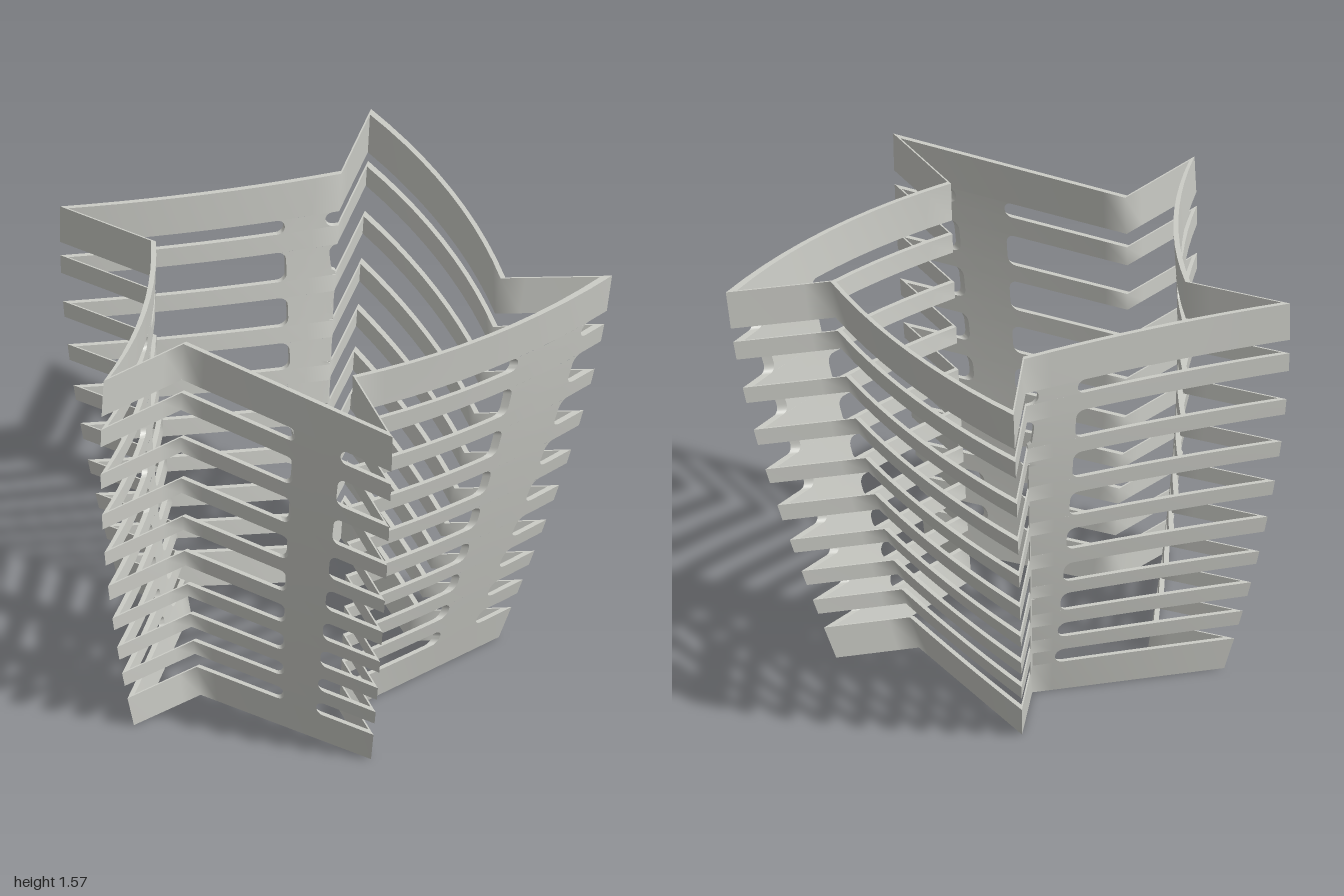
import * as THREE from 'three';
import { mergeGeometries, toCreasedNormals } from 'three/addons/utils/BufferGeometryUtils.js';

const H = 1.57;
// The long walls (even) are thicker than the short radial ones (odd)
const THICK = [0.018, 0.006];

// Star corners as [x, z], alternating tip and inner corner, at the foot and at the rim
const FOOT = [[0.16, -0.63], [0.26, 0.08], [0.56, 0.13], [-0.09, 0.46], [-0.055, 0.765],
  [-0.56, 0.24], [-0.835, 0.37], [-0.495, -0.28], [-0.69, -0.48], [0.01, -0.37]];
const RIM = [[0.35, -1.0], [0.585, 0.125], [0.96, 0.2], [-0.075, 0.61], [-0.03, 1.0],
  [-0.63, 0.27], [-0.96, 0.43], [-0.6, -0.38], [-0.87, -0.66], [0.16, -0.65]];

// Outward bow of each wall at the rim (walls are straight at the foot)
const BOW = [0.055, 0, 0.065, 0, 0, 0, -0.05, 0, -0.022, 0];

// Gaps between the horizontal bars
const GAPS = [[0.13, 0.19], [0.25, 0.315], [0.375, 0.455], [0.51, 0.595], [0.66, 0.755],
  [0.815, 0.92], [0.985, 1.1], [1.165, 1.285], [1.36, 1.417]];

// Posts: start and end along a wall at the foot and at the rim (past 1 runs round the corner)
const POSTS = [
  { wall: 2, foot: [0.24, 0.45], rim: [0.095, 0.375] },
  { wall: 4, foot: [0.335, 0.51], rim: [0.23, 0.45] },
  { wall: 6, foot: [0.59, 0.74], rim: [0.59, 0.7] },
  { wall: 8, foot: [0.9, 1.18], rim: [0.785, 0.92] },
];

const lerp = THREE.MathUtils.lerp;

// Star corner at height y, with the sides swelling between foot and rim
function corner(i, y) {
  const k = (i + 10) % 10, t = y / H, swell = 1 + 0.25 * t * (1 - t);
  return new THREE.Vector2(lerp(FOOT[k][0], RIM[k][0], t) * swell, lerp(FOOT[k][1], RIM[k][1], t) * swell);
}

function wallNormal(i, y) {
  const d = corner(i + 1, y).sub(corner(i, y)).normalize();
  return new THREE.Vector2(d.y, -d.x);
}

// Mitred offset from the outer to the inner face where two walls of different thickness meet
function mitre(i, y) {
  const a = wallNormal(i - 1, y), b = wallNormal(i, y);
  const ta = THICK[(i + 1) % 2], tb = THICK[i % 2], det = a.cross(b);
  return new THREE.Vector2((tb * a.y - ta * b.y) / det, (ta * b.x - tb * a.x) / det);
}

// Point on the outer or inner face, a fraction along wall w
function wallPoint(w, along, y, inner) {
  const i = along > 1 ? w + 1 : w, f = along > 1 ? along - 1 : along;
  const p = corner(i, y).lerp(corner(i + 1, y), f);
  p.addScaledVector(wallNormal(i, y), BOW[i] * (y / H) * 4 * f * (1 - f));
  if (inner) p.add(mitre(i, y).lerp(mitre(i + 1, y), f));
  return [p.x, y, p.y];
}

// Geometry from quads; edges that turn more than the crease angle stay sharp
function quadGeometry(quads, crease) {
  const g = new THREE.BufferGeometry();
  const pos = quads.flatMap(([a, b, c, d]) => [a, b, c, a, c, d].flat());
  g.setAttribute('position', new THREE.Float32BufferAttribute(pos, 3));
  return toCreasedNormals(g, crease);
}

// Closed star-shaped bar: four strips, smooth round the inner corners and sharp at the tips
function barGeometry(y0, y1) {
  const sections = [];
  for (let i = 0; i < 10; i++) {
    const steps = i % 2 ? 4 : 10;
    for (let s = 0; s < steps; s++) {
      const f = s / steps;
      sections.push([wallPoint(i, f, y0, false), wallPoint(i, f, y1, false),
        wallPoint(i, f, y1, true), wallPoint(i, f, y0, true)]);
    }
  }
  const strips = [0, 1, 2, 3].map((j) => {
    const k = (j + 1) % 4;
    return quadGeometry(sections.map((A, r) => {
      const B = sections[(r + 1) % sections.length];
      return [A[j], A[k], B[k], B[j]];
    }), 1.9);
  });
  return mergeGeometries(strips);
}

// Piece of post filling one gap, flared into the bars with rounded corners
function postGeometry({ wall, foot, rim }, [y0, y1]) {
  const r = Math.min(0.032, (y1 - y0) / 2), cols = 10, heights = [];
  for (let k = 0; k <= 5; k++) heights.push(y0 + r * (1 - Math.cos((k / 5) * Math.PI / 2)));
  for (let k = 5; k >= 0; k--) heights.push(y1 - r * (1 - Math.cos((k / 5) * Math.PI / 2)));
  const sections = heights.map((y) => {
    const d = Math.min(y - y0, y1 - y, r);
    const length = corner(wall, y).distanceTo(corner(wall + 1, y));
    const flare = (r - Math.sqrt(Math.max(0, r * r - (r - d) ** 2))) / length;
    const a = lerp(foot[0], rim[0], y / H) - flare, b = lerp(foot[1], rim[1], y / H) + flare;
    const outer = [], inner = [];
    for (let c = 0; c <= cols; c++) {
      let f = lerp(a, b, c / cols);
      // keep a vertex on the wall corner
      if (Math.abs(f - 1) <= (b - a) / cols / 2) f = 1;
      outer.push(wallPoint(wall, f, y, false));
      inner.unshift(wallPoint(wall, f, y, true));
    }
    return [...outer, ...inner];
  });
  const quads = [];
  for (let s = 0; s < sections.length - 1; s++) {
    const A = sections[s], B = sections[s + 1];
    A.forEach((p, j) => {
      const k = (j + 1) % A.length;
      quads.push([p, B[j], B[k], A[k]]);
    });
  }
  return quadGeometry(quads, 0.5);
}

export function createModel() {
  const model = new THREE.Group();
  model.name = 'starBasket';
  const grey = new THREE.MeshStandardMaterial({ color: 0xcbccc6 });
  grey.name = 'light warm grey';

  const add = (name, geometry, parent) => {
    const mesh = new THREE.Mesh(geometry, grey);
    mesh.name = name;
    parent.add(mesh);
  };

  // Horizontal bars, from the foot band to the rim band
  const edges = [0, ...GAPS.flat(), H];
  for (let i = 0; i < edges.length; i += 2) {
    const name = i === 0 ? 'footBand' : i === edges.length - 2 ? 'rimBand' : 'bar' + i / 2;
    add(name, barGeometry(edges[i], edges[i + 1]), model);
  }

  // Upright posts
  POSTS.forEach((post, p) => {
    const group = new THREE.Group();
    group.name = 'post' + (p + 1);
    GAPS.forEach((gap, g) => add('postPiece' + (g + 1), postGeometry(post, gap), group));
    model.add(group);
  });
  return model;
}
